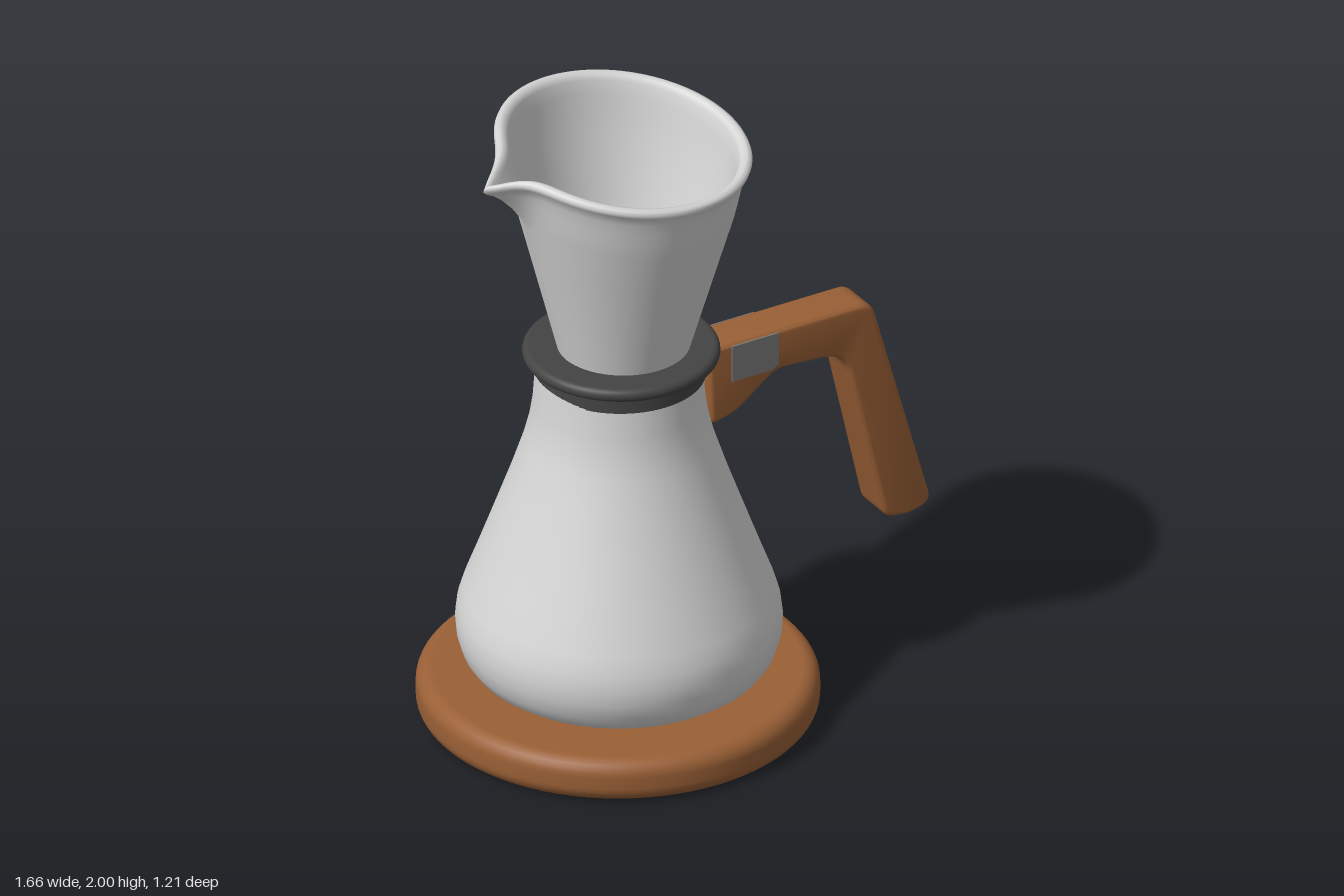
import * as THREE from 'three';
import { toCreasedNormals } from 'three/addons/utils/BufferGeometryUtils.js';

const AXIS = -0.222; // x of the vessel's centre line

const mat = (name, color, side = THREE.FrontSide) => {
  const m = new THREE.MeshStandardMaterial({ color, side });
  m.name = name;
  return m;
};

// Revolved profile of [radius, y] pairs, listed from bottom to top
function lathe(profile, segments = 72, phiStart = 0) {
  return new THREE.LatheGeometry(profile.map(([r, y]) => new THREE.Vector2(r, y)), segments, phiStart);
}

// Profile of a disc whose edge is rounded with the given corner radius
function roundedDisc(radius, y0, y1, corner) {
  const p = [[0, y0]];
  for (let i = 0; i <= 6; i++) {
    const a = -Math.PI / 2 + (i / 6) * Math.PI / 2;
    p.push([radius - corner + corner * Math.cos(a), y0 + corner + corner * Math.sin(a)]);
  }
  for (let i = 0; i <= 6; i++) {
    const a = (i / 6) * Math.PI / 2;
    p.push([radius - corner + corner * Math.cos(a), y1 - corner + corner * Math.sin(a)]);
  }
  p.push([0, y1]);
  return p;
}

// Closed outline with each [x, y, radius] corner rounded off
function roundedShape(pts) {
  const shape = new THREE.Shape();
  pts.forEach(([x, y, r], i) => {
    const toward = ([px, py]) => {
      const d = Math.hypot(px - x, py - y);
      return [x + (px - x) * r / d, y + (py - y) * r / d];
    };
    const a = toward(pts[(i + pts.length - 1) % pts.length]);
    const b = toward(pts[(i + 1) % pts.length]);
    if (i) shape.lineTo(...a); else shape.moveTo(...a);
    shape.quadraticCurveTo(x, y, ...b);
  });
  shape.closePath();
  return shape;
}

// Funnel: revolved wall, then tilted at the rim and pulled out into a spout at -x
function funnelGeometry() {
  const geo = lathe([
    [0.19, 1.2], [0.2, 1.24], [0.243, 1.4], [0.297, 1.6], [0.335, 1.74], [0.346, 1.79],
    [0.355, 1.835], [0.363, 1.875], [0.372, 1.9], [0.383, 1.912], [0.387, 1.924], [0.382, 1.935],
    [0.37, 1.94], [0.355, 1.935], [0.345, 1.92], [0.337, 1.88], [0.328, 1.83], [0.315, 1.76],
    [0.282, 1.62], [0.23, 1.42], [0.18, 1.23], [0.172, 1.22], [0.154, 1.215],
  ], 128, -Math.PI / 2);
  const pos = geo.attributes.position;
  for (let i = 0; i < pos.count; i++) {
    const x = pos.getX(i), y = pos.getY(i), z = pos.getZ(i);
    const r = Math.hypot(x, z);
    const off = Math.abs(Math.atan2(z, -x)); // angle away from the spout
    const spout = Math.exp(-Math.pow(off / 0.14, 1.2));
    const lift = THREE.MathUtils.clamp((y - 1.72) / 0.2, 0, 1);
    const pull = 1 + 0.105 * spout * lift * lift / r;
    const rimY = 1.94 - 0.048 * z / r - 0.03 * x / r - 0.05 * spout;
    pos.setXYZ(i, x * pull, 1.2 + (y - 1.2) * (rimY - 1.2) / 0.74, z * pull);
  }
  geo.computeVertexNormals();
  return geo;
}

export function createModel() {
  const group = new THREE.Group();
  const wood = mat('wood', 0x9a6036);
  const glaze = mat('pale glaze', 0xd6d6d6);
  const glazeThin = mat('pale glaze wall', 0xd6d6d6, THREE.DoubleSide);
  glazeThin.color = glaze.color;
  const rubber = mat('dark rubber', 0x444444);
  const steel = mat('grey steel', 0x757575);

  const add = (name, geo, material, x = 0, y = 0, z = 0) => {
    const mesh = new THREE.Mesh(geo, material);
    mesh.name = name;
    mesh.position.set(x, y, z);
    group.add(mesh);
    return mesh;
  };

  // Wooden stand
  add('base', lathe(roundedDisc(0.606, 0, 0.14, 0.052), 80), wood, -0.226);

  // Flask body
  add('body', lathe([
    [0, 0.138], [0.38, 0.138], [0.41, 0.15], [0.445, 0.175], [0.472, 0.215], [0.487, 0.265],
    [0.491, 0.315], [0.485, 0.365], [0.468, 0.42], [0.43, 0.52], [0.375, 0.67], [0.328, 0.8],
    [0.288, 0.92], [0.27, 0.99], [0.259, 1.06], [0.252, 1.16],
  ]), glaze, AXIS);

  // Collar around the neck
  add('collarBand', lathe([[0.257, 1.145], [0.257, 1.21]]), rubber, AXIS + 0.005);
  add('collarUnderside', lathe([[0.245, 1.145], [0.257, 1.145]]), rubber, AXIS + 0.005);
  add('collarRing', lathe(roundedDisc(0.297, 1.2, 1.242, 0.02)
    .map(([r, y]) => [Math.max(r, 0.165), y])), rubber, AXIS + 0.008);

  // Pouring funnel and the disc closing its throat
  add('funnel', funnelGeometry(), glazeThin, -0.207);
  add('throatDisc', new THREE.CylinderGeometry(0.165, 0.165, 0.008, 40), steel, -0.207, 1.211);

  // Bent handle
  const outline = roundedShape([
    [0.05, 1.17, 0.012], [0.625, 1.17, 0.045], [0.835, 0.425, 0.035], [0.765, 0.4, 0.03],
    [0.67, 0.41, 0.035], [0.53, 1.02, 0.08], [0.29, 1.035, 0.03], [0.15, 0.93, 0.03], [0.058, 0.908, 0.025],
  ]);
  const handle = new THREE.ExtrudeGeometry(outline, {
    depth: 0.11, curveSegments: 6, bevelEnabled: true,
    bevelThickness: 0.016, bevelSize: 0.014, bevelOffset: -0.014, bevelSegments: 3,
  });
  handle.translate(0, 0, -0.055);
  add('handle', toCreasedNormals(handle, 0.6), wood);

  // Metal plates on both sides of the handle
  for (const side of [1, -1]) {
    const name = side > 0 ? 'handlePlateFront' : 'handlePlateBack';
    const plate = new THREE.Shape([[0.13, 1.163], [0.13, 1.043], [0.27, 1.043], [0.294, 1.06], [0.294, 1.163]]
      .map(([x, y]) => new THREE.Vector2(x, y)));
    const geo = new THREE.ExtrudeGeometry(plate, { depth: 0.006, bevelEnabled: false });
    add(name, geo, steel, 0, 0, side > 0 ? 0.069 : -0.075);
  }

  return group;
}
